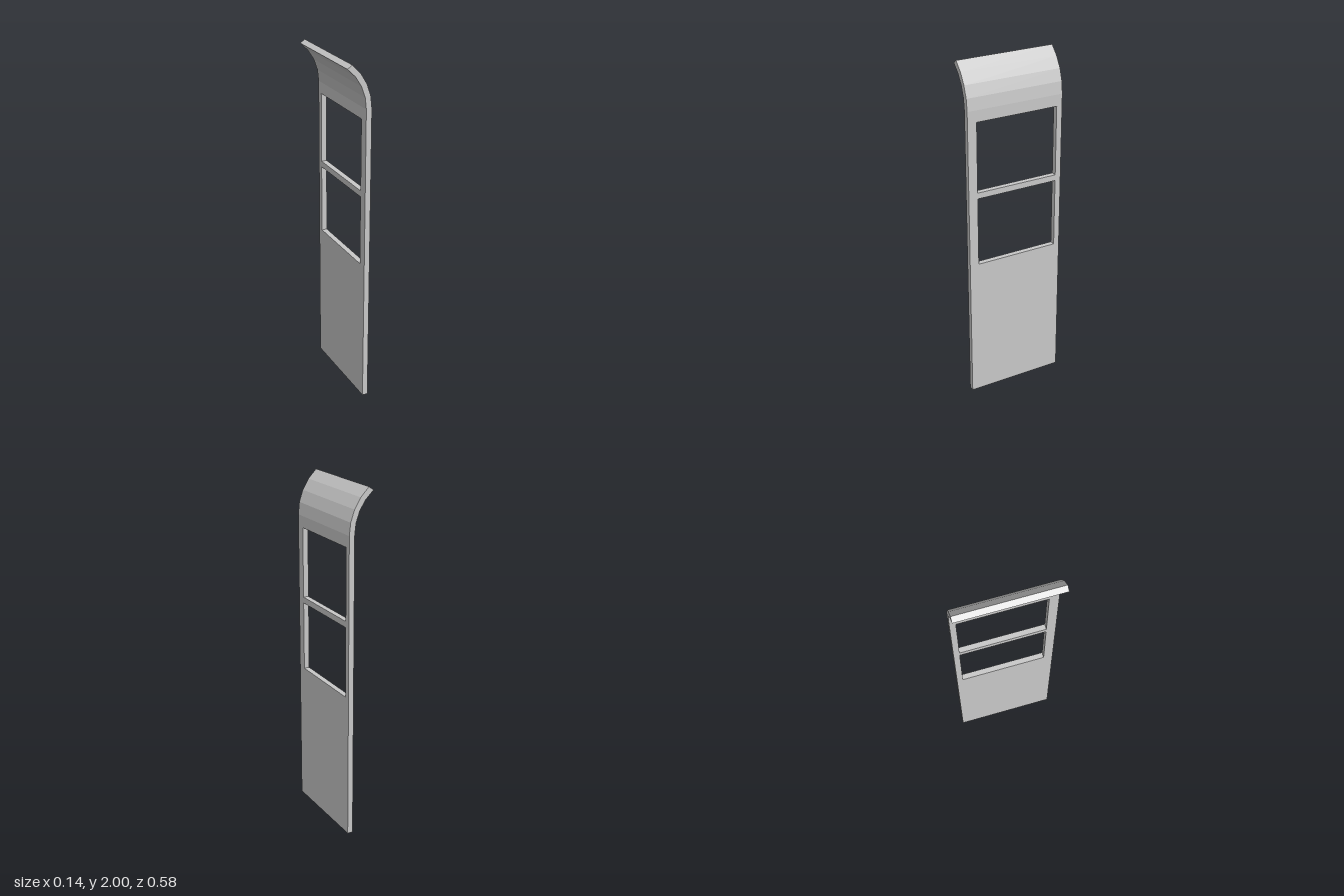
import * as THREE from 'three';

const HALF = 0.29;               // half width along z
const INNER = 0.038, OUTER = 0.07; // wall faces in x
const BEND = 1.755;              // height where the curve starts
const STEPS = 4;

// Removes the hidden faces where the wall and the curve meet
function openAtBend(geometry) {
  const p = geometry.attributes.position;
  const kept = [];
  for (let i = 0; i < p.count; i += 3) {
    const onSeam = [0, 1, 2].every((k) => Math.abs(p.getY(i + k) - BEND) < 1e-5);
    if (onSeam) continue;
    for (let k = 0; k < 3; k++) kept.push(p.getX(i + k), p.getY(i + k), p.getZ(i + k));
  }
  const out = new THREE.BufferGeometry();
  out.setAttribute('position', new THREE.Float32BufferAttribute(kept, 3));
  out.computeVertexNormals();
  return out;
}

// Points on an arc that starts vertical at (x, BEND) and leans toward -x
function arc(x, radius, degrees) {
  return Array.from({ length: STEPS + 1 }, (_, i) => {
    const a = THREE.MathUtils.degToRad((degrees * i) / STEPS);
    return new THREE.Vector2(x - radius * (1 - Math.cos(a)), BEND + radius * Math.sin(a));
  });
}

function rectangle(path, u0, u1, y0, y1) {
  return path.moveTo(u0, y0).lineTo(u1, y0).lineTo(u1, y1).lineTo(u0, y1).closePath();
}

export function createModel() {
  const group = new THREE.Group();
  group.name = 'wallPanel';
  const grey = new THREE.MeshStandardMaterial({ color: 0xc8c8c8, flatShading: true });
  grey.name = 'lightGrey';

  // Upright wall with two window openings, drawn in (-z, y)
  const wallShape = rectangle(new THREE.Shape(), -HALF, HALF, 0, BEND);
  for (const [y0, y1] of [[0.842, 1.246], [1.281, 1.688]]) {
    wallShape.holes.push(rectangle(new THREE.Path(), -0.236, 0.256, y0, y1));
  }
  const wallGeometry = new THREE.ExtrudeGeometry(wallShape, { depth: OUTER - INNER, bevelEnabled: false });
  wallGeometry.rotateY(Math.PI / 2).translate(INNER, 0, 0);
  const wall = new THREE.Mesh(openAtBend(wallGeometry), grey);
  wall.name = 'windowWall';
  group.add(wall);

  // Curved top, a faceted arc swept along z
  const outline = [...arc(OUTER, 0.32, 50), ...arc(INNER, 0.287, 52).reverse()];
  const topGeometry = new THREE.ExtrudeGeometry(new THREE.Shape(outline), { depth: HALF * 2, bevelEnabled: false });
  topGeometry.translate(0, 0, -HALF);
  const top = new THREE.Mesh(openAtBend(topGeometry), grey);
  top.name = 'curvedTop';
  group.add(top);

  return group;
}
